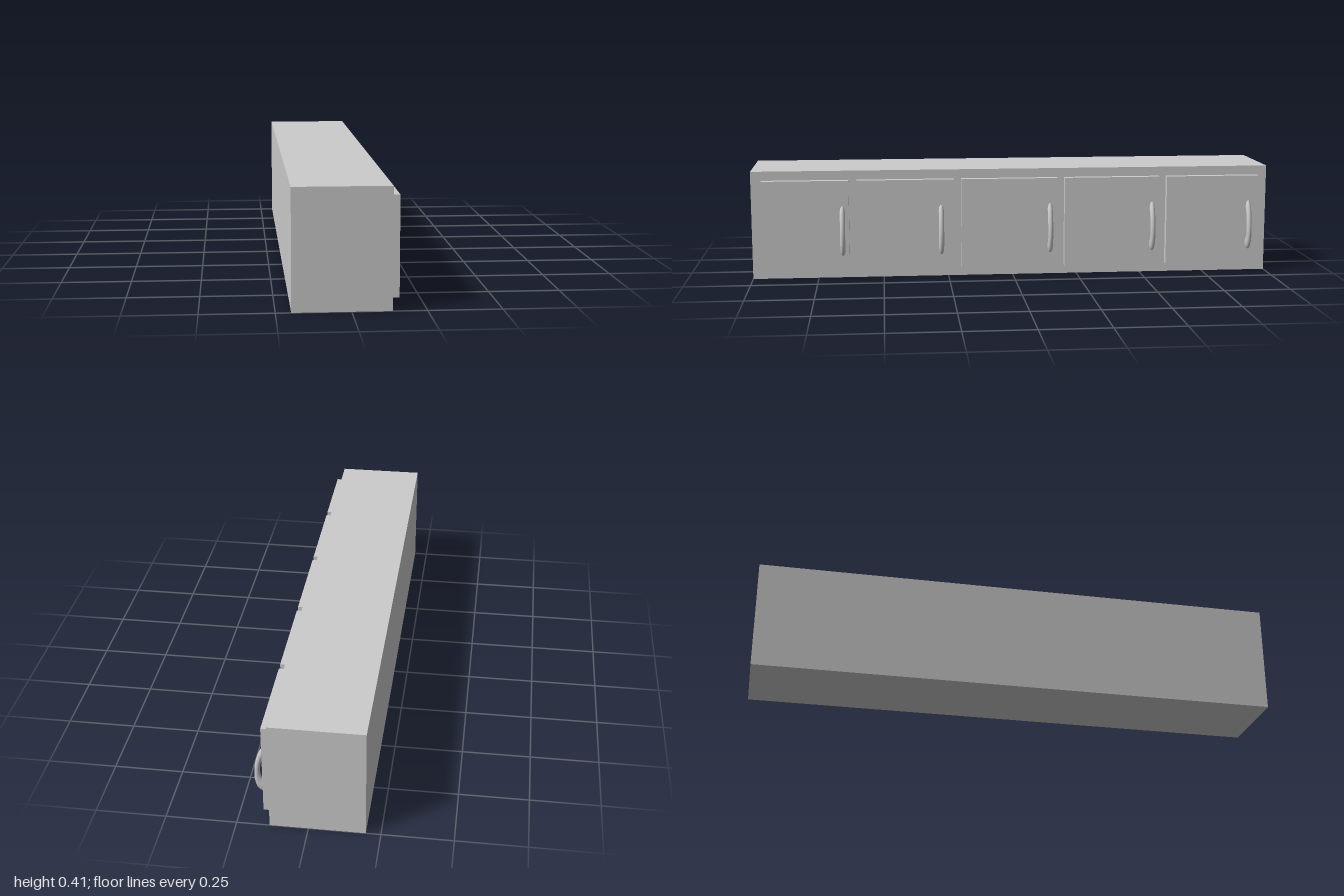
import * as THREE from 'three';

const material = new THREE.MeshStandardMaterial({ color: 0xcccccc });

function addBox(group, name, [x0, x1], [y0, y1], [z0, z1]) {
  const mesh = new THREE.Mesh(new THREE.BoxGeometry(x1 - x0, y1 - y0, z1 - z0), material);
  mesh.position.set((x0 + x1) / 2, (y0 + y1) / 2, (z0 + z1) / 2);
  mesh.name = name;
  group.add(mesh);
}

export function createModel() {
  const model = new THREE.Group();
  model.name = 'wallCabinet';

  // Long cabinet body
  addBox(model, 'body', [-0.198, 0.135], [0, 0.415], [-1, 1]);

  // Squashed ring, half sunk into each door and leaning back at the top
  const handleGeometry = new THREE.TorusGeometry(0.0785, 0.0245, 20, 64);
  handleGeometry.scale(0.39, 1, 0.4);
  handleGeometry.rotateZ(THREE.MathUtils.degToRad(8.7));

  // Each door: z range and z of its handle
  const doors = [
    [0.63, 0.96, 0.655],
    [0.228, 0.6, 0.278],
    [-0.172, 0.2, -0.143],
    [-0.572, -0.2, -0.543],
    [-0.962, -0.6, -0.925],
  ];
  doors.forEach(([z0, z1, handleZ], i) => {
    addBox(model, `door${i + 1}`, [0.135, 0.162], [0.035, 0.38], [z0, z1]);
    const handle = new THREE.Mesh(handleGeometry, material);
    handle.position.set(0.154, 0.193, handleZ);
    handle.name = `handle${i + 1}`;
    model.add(handle);
  });

  return model;
}
